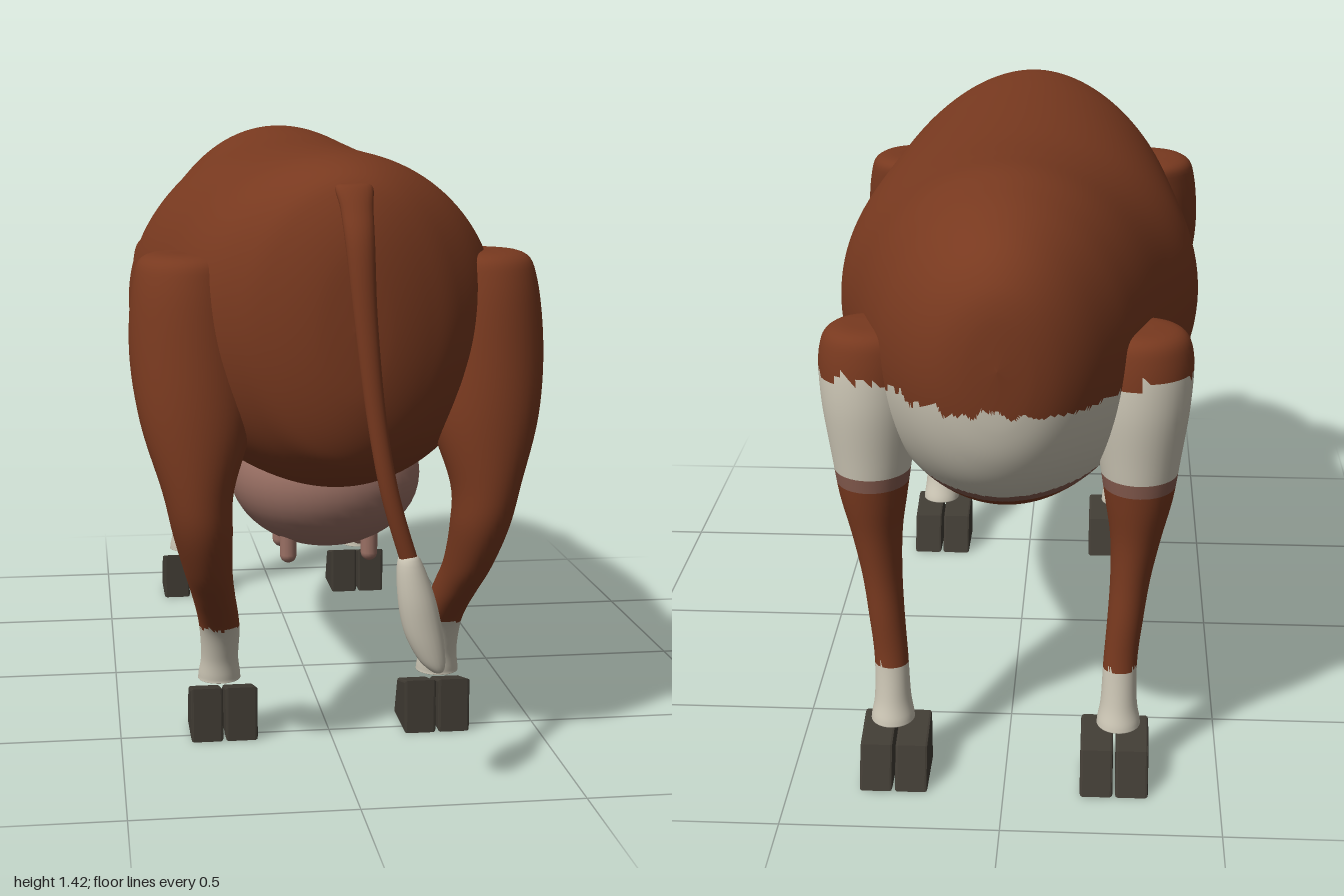
import * as THREE from 'three';

const paint = (name, color) => Object.assign(new THREE.MeshStandardMaterial({ color }), { name });
const BROWN = 0, CREAM = 1, EDGE = 2, PINK = 3, HOOF = 4;
const materials = [
  paint('brown coat', 0x78391f), paint('cream coat', 0xcbc5b4), paint('dusky border', 0x855b4e),
  paint('udder pink', 0x9a7064), paint('dark hoof', 0x413c34),
];

// Catmull-Rom interpolation of rows of numbers
function smoothRows(rows, steps) {
  const out = [];
  const at = (i) => rows[Math.min(Math.max(i, 0), rows.length - 1)];
  for (let i = 0; i < rows.length - 1; i++) {
    for (let s = 0; s < steps; s++) {
      const t = s / steps;
      out.push(rows[i].map((p1, c) => {
        const p0 = at(i - 1)[c], p2 = at(i + 1)[c], p3 = at(i + 2)[c];
        return p1 + 0.5 * t * (p2 - p0 + t * (2 * p0 - 5 * p1 + 4 * p2 - p3 + t * (3 * (p1 - p2) + p3 - p0)));
      }));
    }
  }
  out.push(rows[rows.length - 1]);
  return out;
}

// Skin through closed sections; colourOf picks a material for each face by its centre
function loft(name, rows, steps, sides, point, colourOf) {
  const rings = smoothRows(rows, steps);
  const pos = [], lists = materials.map(() => []);
  rings.forEach((r) => {
    for (let j = 0; j < sides; j++) pos.push(...point(r, (j / sides) * Math.PI * 2));
  });
  const addFace = (...ids) => {
    const mid = [0, 1, 2].map((c) => ids.reduce((sum, i) => sum + pos[i * 3 + c], 0) / 3);
    lists[colourOf(...mid)].push(...ids);
  };
  for (let k = 0; k < rings.length - 1; k++) {
    for (let j = 0; j < sides; j++) {
      const n = (j + 1) % sides;
      const a = k * sides + j, b = k * sides + n, c = a + sides, d = b + sides;
      addFace(a, b, c);
      addFace(b, d, c);
    }
  }
  const g = new THREE.BufferGeometry();
  g.setAttribute('position', new THREE.Float32BufferAttribute(pos, 3));
  g.setIndex(lists.flat());
  let start = 0;
  lists.forEach((l, i) => {
    if (l.length) g.addGroup(start, l.length, i);
    start += l.length;
  });
  g.computeVertexNormals();
  const mesh = new THREE.Mesh(g, materials);
  mesh.name = name;
  return mesh;
}

// Ragged offset for the edges of the coat markings
const ragged = (t) => 0.008 * Math.sin(t * 37) + 0.006 * Math.sin(t * 83 + 1) + 0.005 * Math.sin(t * 151 + 2);

// Cream band across the chest and shoulders with a dusky border
function chestColour(x, y, z) {
  if (y > 1.0 + ragged(x + z) || z > -0.61 || y < 0.735) return BROWN;
  return z > -0.645 || y < 0.765 ? EDGE : CREAM;
}

function bodyColour(x, y, z) {
  const bellyLine = z > -0.3
    ? THREE.MathUtils.mapLinear(z, -0.3, 0.5, 0.72, 0.655)
    : THREE.MathUtils.mapLinear(z, -0.6, -0.3, 0.68, 0.72);
  if (z > -0.6 && z < 0.52 && y < bellyLine + ragged(z + Math.sign(x))) return CREAM;
  return chestColour(x, y, z);
}

// Rows: z, top, bottom, half width
const BODY = [
  [0.89, 1.02, 1.02, 0], [0.882, 1.19, 0.86, 0.085], [0.85, 1.3, 0.75, 0.17], [0.8, 1.355, 0.695, 0.245],
  [0.7, 1.383, 0.645, 0.33], [0.55, 1.39, 0.618, 0.385], [0.3, 1.39, 0.595, 0.42], [0, 1.39, 0.58, 0.447],
  [-0.2, 1.395, 0.58, 0.437], [-0.4, 1.41, 0.597, 0.39], [-0.57, 1.421, 0.635, 0.345], [-0.7, 1.407, 0.67, 0.305],
  [-0.8, 1.385, 0.715, 0.265], [-0.9, 1.345, 0.785, 0.205], [-0.96, 1.29, 0.865, 0.145],
  [-0.99, 1.22, 0.96, 0.08], [-1, 1.1, 1.1, 0],
];
const bodyPoint = ([z, top, low, w], a) =>
  [w * Math.cos(a), (top + low) / 2 - ((top - low) / 2) * Math.sin(a), z];

// Rows: y, x, z, x radius, z radius
const HIND_LEG = [
  [1.165, 0.33, 0.59, 0, 0], [1.16, 0.33, 0.59, 0.1, 0.115], [1.1, 0.335, 0.605, 0.125, 0.14],
  [0.95, 0.33, 0.635, 0.14, 0.142], [0.8, 0.325, 0.688, 0.125, 0.112], [0.65, 0.325, 0.722, 0.08, 0.085],
  [0.55, 0.315, 0.712, 0.067, 0.083], [0.45, 0.3, 0.662, 0.055, 0.085], [0.38, 0.285, 0.605, 0.05, 0.082],
  [0.32, 0.272, 0.56, 0.048, 0.067], [0.27, 0.265, 0.532, 0.047, 0.052], [0.2, 0.264, 0.51, 0.044, 0.045],
  [0.15, 0.264, 0.495, 0.05, 0.051], [0.14, 0.264, 0.495, 0.045, 0.046], [0.138, 0.264, 0.495, 0, 0],
];
const FORE_LEG = [
  [1.1, 0.3, -0.7, 0, 0], [1.093, 0.3, -0.7, 0.085, 0.085], [1.04, 0.3, -0.7, 0.113, 0.113],
  [0.93, 0.3, -0.71, 0.11, 0.112], [0.8, 0.3, -0.712, 0.092, 0.098], [0.7, 0.3, -0.71, 0.077, 0.088],
  [0.6, 0.295, -0.708, 0.058, 0.074], [0.5, 0.285, -0.718, 0.046, 0.057], [0.4, 0.275, -0.734, 0.041, 0.044],
  [0.3, 0.266, -0.744, 0.039, 0.037], [0.2, 0.264, -0.75, 0.042, 0.045],
  [0.15, 0.264, -0.756, 0.05, 0.053], [0.14, 0.264, -0.756, 0.045, 0.048], [0.138, 0.264, -0.756, 0, 0],
];
const TAIL = [
  [1.328, 0, 0.857, 0, 0], [1.326, 0, 0.858, 0.039, 0.022], [1.28, 0.002, 0.888, 0.035, 0.024],
  [1.2, 0.005, 0.922, 0.031, 0.024], [1.05, 0.014, 0.944, 0.025, 0.019], [0.85, 0.035, 0.957, 0.021, 0.018],
  [0.68, 0.065, 0.964, 0.02, 0.017], [0.52, 0.113, 0.957, 0.02, 0.017],
];
const TUFT = [
  [0.548, 0.112, 0.955, 0, 0], [0.54, 0.108, 0.955, 0.024, 0.026], [0.46, 0.123, 0.957, 0.04, 0.037],
  [0.38, 0.14, 0.957, 0.042, 0.036], [0.32, 0.158, 0.962, 0.03, 0.025],
  [0.293, 0.17, 0.966, 0.014, 0.013], [0.287, 0.172, 0.967, 0, 0],
];
const limbPoint = (s) => ([y, x, z, rx, rz], a) => [s * x + rx * Math.cos(a), y, z + rz * Math.sin(a)];

const sock = (x, y, z) => y < 0.285 + 0.4 * ragged(x * 3 + z);
function foreLegColour(x, y, z) {
  if (sock(x, y, z)) return CREAM;
  if (y > 0.59 && y < 0.7 && Math.abs(x) < 0.28 && z > -0.7) return EDGE;
  return chestColour(x, y, z);
}
const hindLegColour = (x, y, z) => (sock(x, y, z) ? CREAM : BROWN);

// Cloven hoof: two bevelled wedges with the toe towards -z
function hoof(name, x, heelZ) {
  const b = 0.006;
  const side = new THREE.Shape([[b, b], [b, 0.13 - b], [0.115 - b, 0.103 - b], [0.15 - b, b]]
    .map(([u, v]) => new THREE.Vector2(u, v)));
  const geo = new THREE.ExtrudeGeometry(side, {
    depth: 0.076 - 2 * b, bevelSize: b, bevelThickness: b, bevelSegments: 2,
  });
  geo.translate(0, 0, -0.038 + b).rotateY(Math.PI / 2);
  const group = new THREE.Group();
  group.name = name;
  for (const s of [-1, 1]) {
    const claw = new THREE.Mesh(geo, materials[HOOF]);
    claw.name = 'claw';
    claw.position.set(x + s * 0.041, 0, heelZ);
    group.add(claw);
  }
  return group;
}

export function createModel() {
  const model = new THREE.Group();
  model.name = 'cow';
  model.add(loft('body', BODY, 14, 120, bodyPoint, bodyColour));

  // Legs and hooves
  for (const [s, label] of [[1, 'left'], [-1, 'right']]) {
    model.add(
      loft(label + 'HindLeg', HIND_LEG, 6, 40, limbPoint(s), hindLegColour),
      loft(label + 'ForeLeg', FORE_LEG, 6, 40, limbPoint(s), foreLegColour),
      hoof(label + 'HindHoof', s * 0.256, 0.55),
      hoof(label + 'ForeHoof', s * 0.256, -0.708),
    );
  }

  // Tail
  model.add(
    loft('tail', TAIL, 6, 20, limbPoint(1), () => BROWN),
    loft('tailTuft', TUFT, 5, 20, limbPoint(1), () => CREAM),
  );

  // Udder with four teats
  const udder = new THREE.Mesh(new THREE.SphereGeometry(1, 40, 24), materials[PINK]);
  udder.name = 'udder';
  udder.scale.set(0.228, 0.175, 0.242);
  udder.position.set(0, 0.62, 0.41);
  model.add(udder);
  const teatGeo = new THREE.CapsuleGeometry(0.02, 0.06, 6, 14);
  for (const x of [-0.097, 0.097]) {
    for (const z of [0.33, 0.49]) {
      const teat = new THREE.Mesh(teatGeo, materials[PINK]);
      teat.name = 'teat';
      teat.position.set(x, 0.467, z);
      model.add(teat);
    }
  }
  return model;
}
